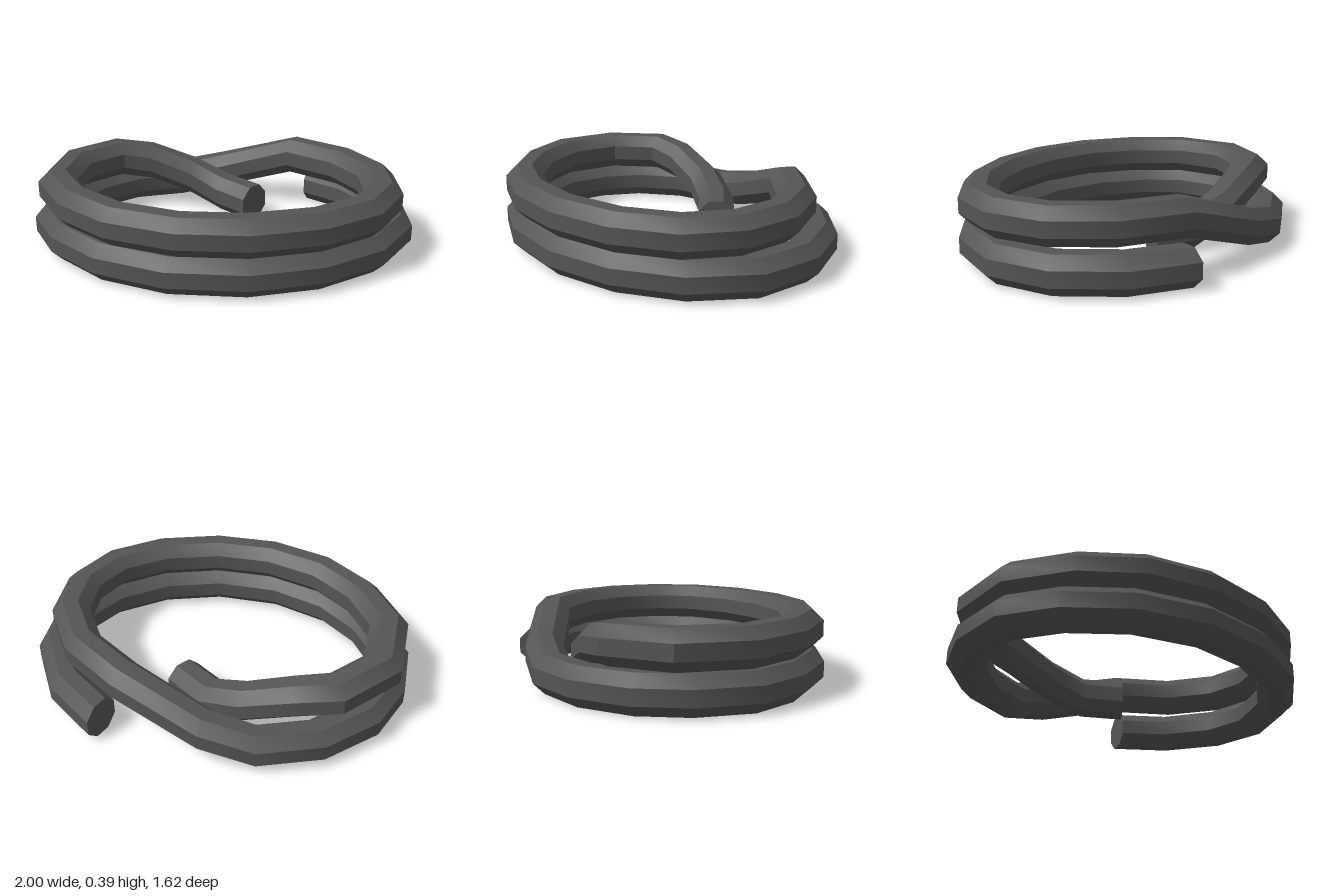
import * as THREE from 'three';
import { toCreasedNormals } from 'three/addons/utils/BufferGeometryUtils.js';

const LOW = 0.0975, HIGH = 0.293; // centre heights of the two layers
const SIDES = 8, RADIUS = 0.0975 / Math.cos(Math.PI / 8);

// centre line in plan: [x, z, height]
const lowerTurn = [
  [0.36, -0.71], [0.63, -0.57], [0.835, -0.33], [0.9, -0.05], [0.8, 0.25], [0.58, 0.49],
  [0.28, 0.65], [-0.08, 0.71], [-0.42, 0.65], [-0.69, 0.49], [-0.86, 0.29], [-0.903, 0.02],
  [-0.85, -0.22], [-0.68, -0.45], [-0.42, -0.6],
].map(([x, z]) => [x, z, LOW]);
const rise = [[-0.17, -0.645, 0.155]];
const upperTurn = [
  [0.27, -0.61], [0.58, -0.465], [0.78, -0.24], [0.845, 0.02], [0.78, 0.27], [0.58, 0.49],
  [0.285, 0.645], [-0.035, 0.705], [-0.36, 0.66], [-0.63, 0.51], [-0.835, 0.275],
  [-0.88, -0.05], [-0.72, -0.31],
].map(([x, z]) => [x, z, HIGH]);
const innerTail = [[-0.53, -0.375, 0.265], [-0.285, -0.41, 0.18], [-0.09, -0.375, 0.108], [0.11, -0.27, LOW]];

// sweep an upright octagon along the path with mitred joints
function sweep(path, before) {
  const pos = [], index = [];
  const dir = (a, b) => new THREE.Vector2(b[0] - a[0], b[1] - a[1]).normalize();
  const last = path.length - 1;
  path.forEach((p, i) => {
    const tin = dir(i ? path[i - 1] : before, p);
    const tout = i < last ? dir(p, path[i + 1]) : tin;
    const t = tin.clone().add(tout).normalize();
    const miter = 1 / t.dot(tout);
    for (let j = 0; j < SIDES; j++) {
      const a = ((j + 0.5) / SIDES) * Math.PI * 2;
      const s = Math.cos(a) * RADIUS * miter;
      pos.push(p[0] - t.y * s, p[2] + Math.sin(a) * RADIUS, p[1] + t.x * s);
    }
  });
  for (let i = 0; i < last; i++) {
    for (let j = 0; j < SIDES; j++) {
      const a = i * SIDES + j, b = i * SIDES + ((j + 1) % SIDES);
      index.push(a, a + SIDES, b, b, a + SIDES, b + SIDES);
    }
  }
  // flat end caps
  const e = last * SIDES;
  for (let j = 1; j < SIDES - 1; j++) {
    index.push(0, j, j + 1, e, e + j + 1, e + j);
  }
  const geo = new THREE.BufferGeometry();
  geo.setAttribute('position', new THREE.Float32BufferAttribute(pos, 3));
  geo.setIndex(index);
  return toCreasedNormals(geo, 0.6);
}

export function createModel() {
  const group = new THREE.Group();
  group.name = 'coil';
  const darkGrey = new THREE.MeshStandardMaterial({ color: 0x555555 });
  darkGrey.name = 'darkGrey';

  // one continuous rope; the first joint angle gives the skewed cut of the outer end
  const path = [...lowerTurn, ...rise, ...upperTurn, ...innerTail];
  const rope = new THREE.Mesh(sweep(path, [-0.64, -0.625]), darkGrey);
  rope.name = 'coiledRope';
  group.add(rope);
  return group;
}
